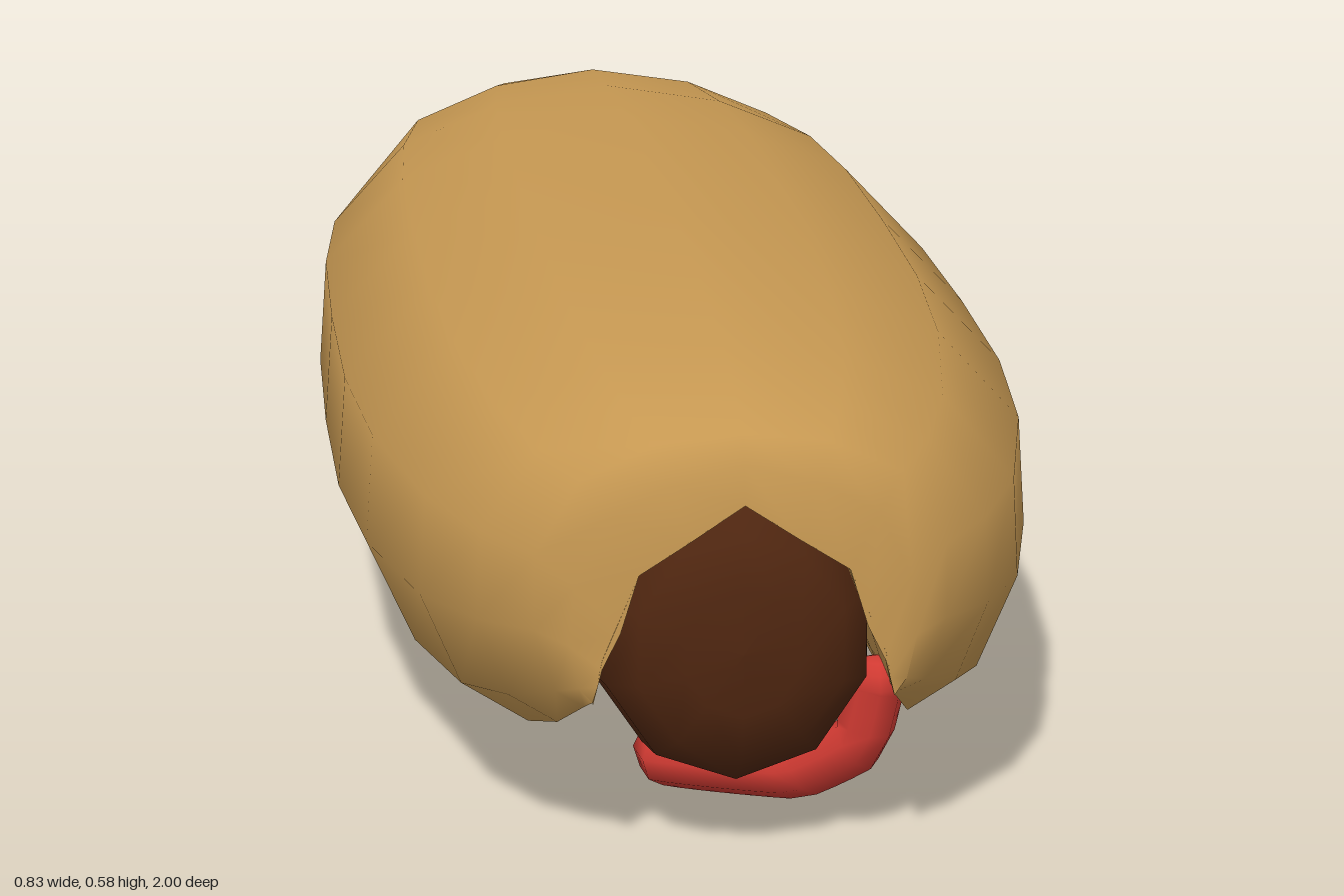
import * as THREE from 'three';
import { toCreasedNormals } from 'three/addons/utils/BufferGeometryUtils.js';

const lerp = THREE.MathUtils.lerp;
const mix = (a, b, t) => a.map((p, i) => [lerp(p[0], b[i][0], t), lerp(p[1], b[i][1], t)]);

// Half profiles of the bun, from the top centre down to the lip
const OUTER_MID = [[0, .58], [.165, .553], [.3, .498], [.405, .388], [.415, .252], [.355, .122], [.25, .055]];
const OUTER_END = [[0, .485], [.09, .475], [.165, .44], [.21, .36], [.21, .28], [.19, .215], [.165, .2]];
const OUTER_SHUT = [[0, .42], [.06, .38], [.115, .345], [.135, .28], [.155, .24], [.16, .22], [.165, .2]];
const INNER_MID = [[.205, .1], [.18, .15], [.16, .2], [.115, .345], [0, .42]];
const INNER_END = [[.16, .22], [.158, .235], [.155, .25], [.115, .345], [0, .42]];

// Half of the bun's stations: z, swell towards the middle, closing of the end
const STATIONS = [[0, 1, 0], [.3, .98, 0], [.55, .87, 0], [.78, .63, 0], [.9, .36, 0],
  [.97, .08, 0], [.992, 0, .35], [1, 0, 1]];

// Closed C-shaped loop, counterclockwise seen from the front
function bunSection(swell, shut) {
  const outer = mix(mix(OUTER_END, OUTER_SHUT, shut), OUTER_MID, swell);
  const inner = mix(INNER_END, INNER_MID, swell);
  const flip = ([x, y]) => [-x, y];
  return [
    ...outer.slice().reverse(), ...outer.slice(1).map(flip),
    ...inner.map(flip), ...inner.slice(0, -1).reverse(),
  ];
}

function bunGeometry() {
  const stations = [...STATIONS.slice(1).reverse().map(([z, a, b]) => [-z, a, b]), ...STATIONS];
  const positions = [], index = [];
  let n = 0;
  stations.forEach(([z, swell, shut], j) => {
    const loop = bunSection(swell, shut);
    n = loop.length;
    loop.forEach(([x, y]) => positions.push(x, y, z));
    if (j === 0) return;
    for (let i = 0; i < n; i++) {
      const k = (i + 1) % n, a = (j - 1) * n, c = j * n;
      index.push(a + i, a + k, c + i, a + k, c + k, c + i);
    }
  });
  const geometry = new THREE.BufferGeometry();
  geometry.setAttribute('position', new THREE.Float32BufferAttribute(positions, 3));
  geometry.setIndex(index);
  return toCreasedNormals(geometry, 1.1);
}

function addMesh(parent, name, geometry, color, side = THREE.FrontSide) {
  const mesh = new THREE.Mesh(geometry, new THREE.MeshStandardMaterial({ color, side }));
  mesh.name = name;
  parent.add(mesh);
  return mesh;
}

export function createModel() {
  const model = new THREE.Group();
  model.name = 'hotDog';

  addMesh(model, 'bun', bunGeometry(), 0xc69852, THREE.DoubleSide);

  // Sausage: ten-sided rod with rounded ends
  const half = [[1, .6], [1, .85], [.92, .93], [.72, .975], [.4, .993], [0, .997]];
  const profile = [...half.slice().reverse().map(([r, z]) => [r, -z]), ...half]
    .map(([r, z]) => new THREE.Vector2(r, z));
  const sausageGeometry = new THREE.LatheGeometry(profile, 10);
  sausageGeometry.scale(.165, 1, .18);
  sausageGeometry.rotateX(Math.PI / 2);
  sausageGeometry.translate(0, .25, 0);
  addMesh(model, 'sausage', sausageGeometry, 0x4f2610);

  // Zigzag of sauce along the underside
  const path = [[.16, .18, .9], [.145, .11, .89], [.08, .06, .84], [-.065, .034, .7], [.1, .05, .45], [-.075, .04, .19],
    [.1, .048, .01], [-.09, .058, -.31], [.08, .078, -.54], [-.1, .072, -.9]]
    .map((p) => new THREE.Vector3(...p));
  const curve = new THREE.CatmullRomCurve3(path, false, 'catmullrom', .12);
  const sauce = new THREE.Group();
  sauce.name = 'sauce';
  model.add(sauce);
  addMesh(sauce, 'sauceLine', new THREE.TubeGeometry(curve, 90, .033, 8), 0xd03a32);
  for (const end of [path[0], path[path.length - 1]]) {
    addMesh(sauce, 'sauceTip', new THREE.SphereGeometry(.033, 8, 6), 0xd03a32).position.copy(end);
  }
  return model;
}
